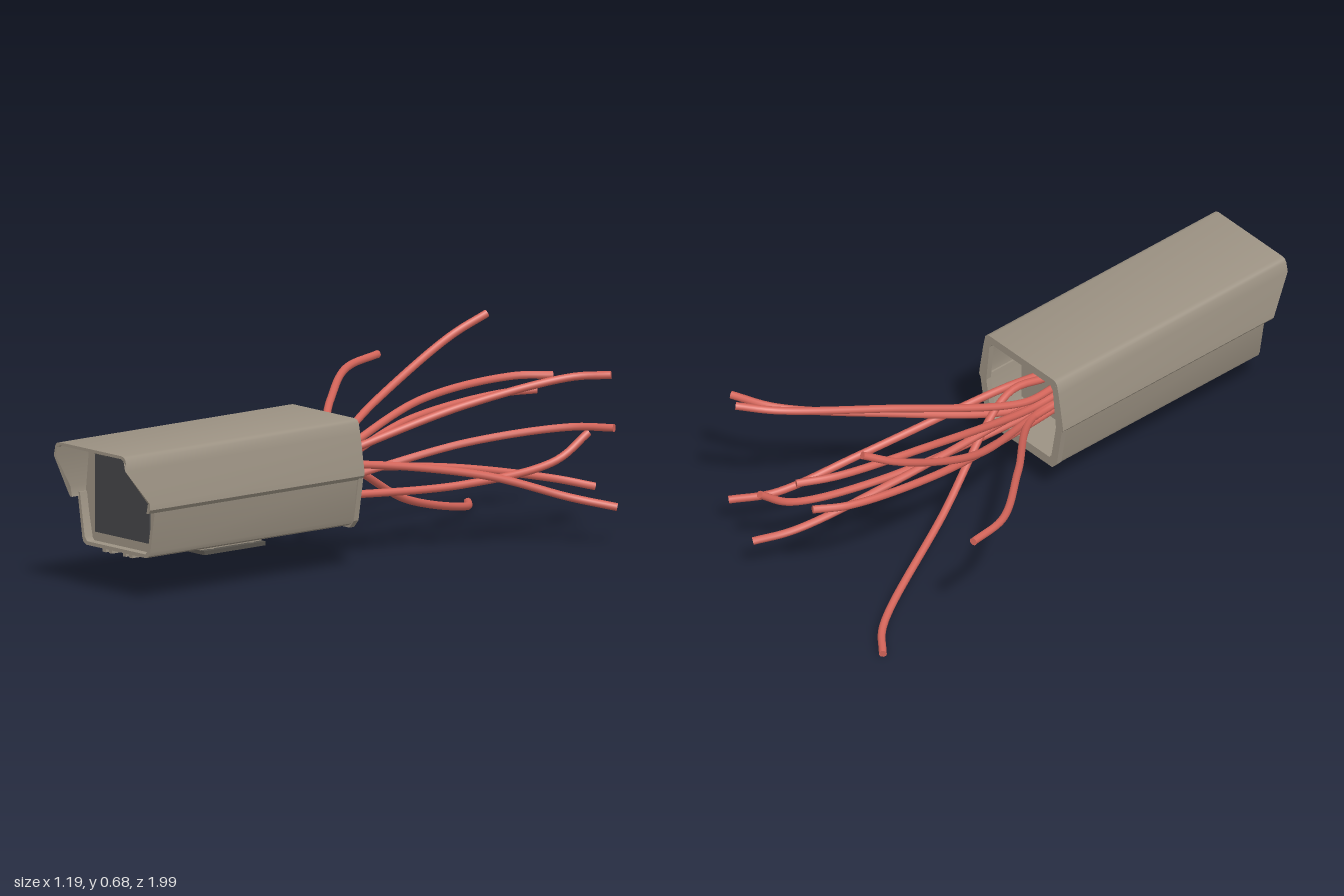
import * as THREE from 'three';
import { toCreasedNormals } from 'three/addons/utils/BufferGeometryUtils.js';

const CX = 0.04; // housing axis, offset from the model centre

const material = (color) => new THREE.MeshStandardMaterial({ color, side: THREE.DoubleSide });

export function createModel() {
  const model = new THREE.Group();
  const shellMat = material(0x9c9283);
  const glassMat = material(0x444447);
  const darkMat = material(0x55514b);
  const wireMat = material(0xd4655a);

  const add = (name, geometry, mat, parent = model) => {
    const mesh = new THREE.Mesh(geometry, mat);
    mesh.name = name;
    parent.add(mesh);
    return mesh;
  };
  // box given by its limits, x measured from the housing axis
  const box = (name, x0, x1, y0, y1, z0, z1, mat, parent) =>
    add(name, new THREE.BoxGeometry(x1 - x0, y1 - y0, z1 - z0), mat, parent)
      .position.set(CX + (x0 + x1) / 2, (y0 + y1) / 2, (z0 + z1) / 2);

  // half profile mirrored across the axis
  const mirrored = (half) => [...half, ...half.slice().reverse().map(([x, y]) => [-x, y])];
  const toVectors = (pts) => pts.map(([x, y]) => new THREE.Vector2(x + CX, y));
  const extrude = (shape, z0, z1) =>
    new THREE.ExtrudeGeometry(shape, { depth: z1 - z0, bevelEnabled: false }).translate(0, 0, z0);

  // U-shaped shell; both half profiles start at the open edge
  const channel = (outer, inner, z0, z1) =>
    extrude(new THREE.Shape(toVectors([...mirrored(outer), ...mirrored(inner).reverse()])), z0, z1);

  // closed frame with an opening
  const ring = (outer, inner, z0, z1) => {
    const shape = new THREE.Shape(toVectors(mirrored(outer)));
    shape.holes.push(new THREE.Path(toVectors(mirrored(inner))));
    return extrude(shape, z0, z1);
  };

  // hood with raked front edges on both sides
  const hood = channel(
    [[0.195, 0.302], [0.205, 0.315], [0.203, 0.335], [0.183, 0.45], [0.175, 0.485], [0.168, 0.493], [0.155, 0.497]],
    [[0.186, 0.302], [0.193, 0.335], [0.173, 0.45], [0.166, 0.48], [0.152, 0.487]], 0.01, 1);
  const p = hood.attributes.position;
  const { clamp, mapLinear } = THREE.MathUtils;
  for (let i = 0; i < p.count; i++) {
    if (p.getZ(i) > 0.9) p.setZ(i, mapLinear(clamp(p.getY(i), 0.335, 0.45), 0.335, 0.45, 0.92, 1));
  }
  add('hood', toCreasedNormals(hood, 0.6), shellMat);

  // lower tray
  add('lowerTray', toCreasedNormals(channel(
    [[0.194, 0.315], [0.17, 0.168], [0.164, 0.154], [0.148, 0.146]],
    [[0.182, 0.315], [0.158, 0.172], [0.145, 0.158]], 0.02, 0.89), 0.6), shellMat);

  // thick rim around the rear opening
  add('rearRim', ring(
    [[0.152, 0.138], [0.174, 0.163], [0.198, 0.305], [0.18, 0.45], [0.158, 0.492]],
    [[0.138, 0.172], [0.148, 0.185], [0.17, 0.31], [0.155, 0.452], [0.142, 0.468]], 0.01, 0.03), shellMat);

  // front frame around the window
  add('windowFrame', ring(
    [[0.15, 0.154], [0.187, 0.32], [0.172, 0.455], [0.155, 0.49]],
    [[0.133, 0.19], [0.133, 0.463]], 0.83, 0.86), shellMat);
  box('window', -0.135, 0.135, 0.188, 0.465, 0.84, 0.865, glassMat);

  // inner block closing the hollow at the rear
  box('innerBlock', -0.145, 0.145, 0.19, 0.465, 0.14, 0.83, shellMat);

  // small ribs under the hood
  for (let i = 0; i < 4; i++) {
    const x = -0.024 + i * 0.016;
    box('hoodRib', x - 0.003, x + 0.003, 0.472, 0.49, 0.87, 0.96, darkMat);
  }

  // long rails along the underside
  for (const s of [-1, 1]) for (const x of [0.035, 0.066])
    box('bottomRail', s * x - 0.008, s * x + 0.008, 0.134, 0.15, 0.03, 0.885, shellMat);

  // mounting foot: pierced plate between two side walls, with a raised socket
  const mount = new THREE.Group();
  mount.name = 'mount';
  model.add(mount);
  const plate = new THREE.Shape(toVectors(mirrored([[0.105, -0.13], [0.105, 0.13]])));
  const drill = (x, y, r) => plate.holes.push(new THREE.Path().absarc(CX + x, y, r, 0, Math.PI * 2, true));
  drill(0, 0, 0.05);
  for (const x of [-0.078, 0.078]) for (const y of [-0.085, 0.085]) drill(x, y, 0.014);
  const plateGeo = new THREE.ExtrudeGeometry(plate, { depth: 0.013, bevelEnabled: false });
  add('mountPlate', plateGeo.rotateX(Math.PI / 2).translate(0, 0.126, 0.475), darkMat, mount);
  for (const x of [-0.072, 0.072])
    box('mountWall', x - 0.012, x + 0.012, 0.122, 0.15, 0.345, 0.605, shellMat, mount);
  add('mountSocket', new THREE.CylinderGeometry(0.05, 0.05, 0.03, 32, 1, true), darkMat, mount)
    .position.set(CX, 0.132, 0.475);

  // one loose wire, from inside the rear opening through two points to its tip
  const bundle = new THREE.Group();
  bundle.name = 'wires';
  model.add(bundle);
  const wire = (x, y, ...points) => {
    const route = [[x * 0.8 + 0.008, y * 0.85 + 0.04, 0.15], [x, y, 0], ...points];
    const path = new THREE.CatmullRomCurve3(route.map((q) => new THREE.Vector3(...q)));
    add('wire', new THREE.TubeGeometry(path, 48, 0.013, 10), wireMat, bundle);
    const cap = add('wireEnd', new THREE.CircleGeometry(0.013, 10), wireMat, bundle);
    cap.position.copy(path.getPoint(1));
    cap.lookAt(path.getPoint(1).add(path.getTangent(1)));
  };
  wire(-0.03, 0.3, [-0.34, 0.43, -0.34], [-0.545, 0.48, -0.59], [-0.585, 0.495, -0.75]);
  wire(0.09, 0.33, [-0.07, 0.135, -0.43], [-0.27, 0.026, -0.86], [-0.37, 0.015, -0.95]);
  wire(-0.03, 0.3, [-0.19, 0.44, -0.4], [-0.22, 0.61, -0.75], [-0.18, 0.675, -0.87]);
  wire(-0.02, 0.27, [-0.13, 0.38, -0.5], [-0.105, 0.423, -0.86], [-0.05, 0.43, -0.97]);
  wire(0, 0.31, [-0.07, 0.455, -0.5], [-0.03, 0.493, -0.85], [0.03, 0.49, -0.97]);
  wire(0.02, 0.3, [0.06, 0.25, -0.5], [0.15, 0.18, -0.87], [0.225, 0.15, -0.985]);
  wire(0.07, 0.22, [0.14, 0.205, -0.5], [0.2, 0.25, -0.84], [0.22, 0.33, -0.96]);
  wire(0.02, 0.33, [0.16, 0.47, -0.48], [0.31, 0.545, -0.81], [0.405, 0.555, -0.9]);
  wire(0.12, 0.33, [0.24, 0.25, -0.5], [0.36, 0.16, -0.77], [0.46, 0.13, -0.88]);
  wire(0.07, 0.27, [0.25, 0.37, -0.42], [0.45, 0.417, -0.69], [0.585, 0.425, -0.76]);
  return model;
}
